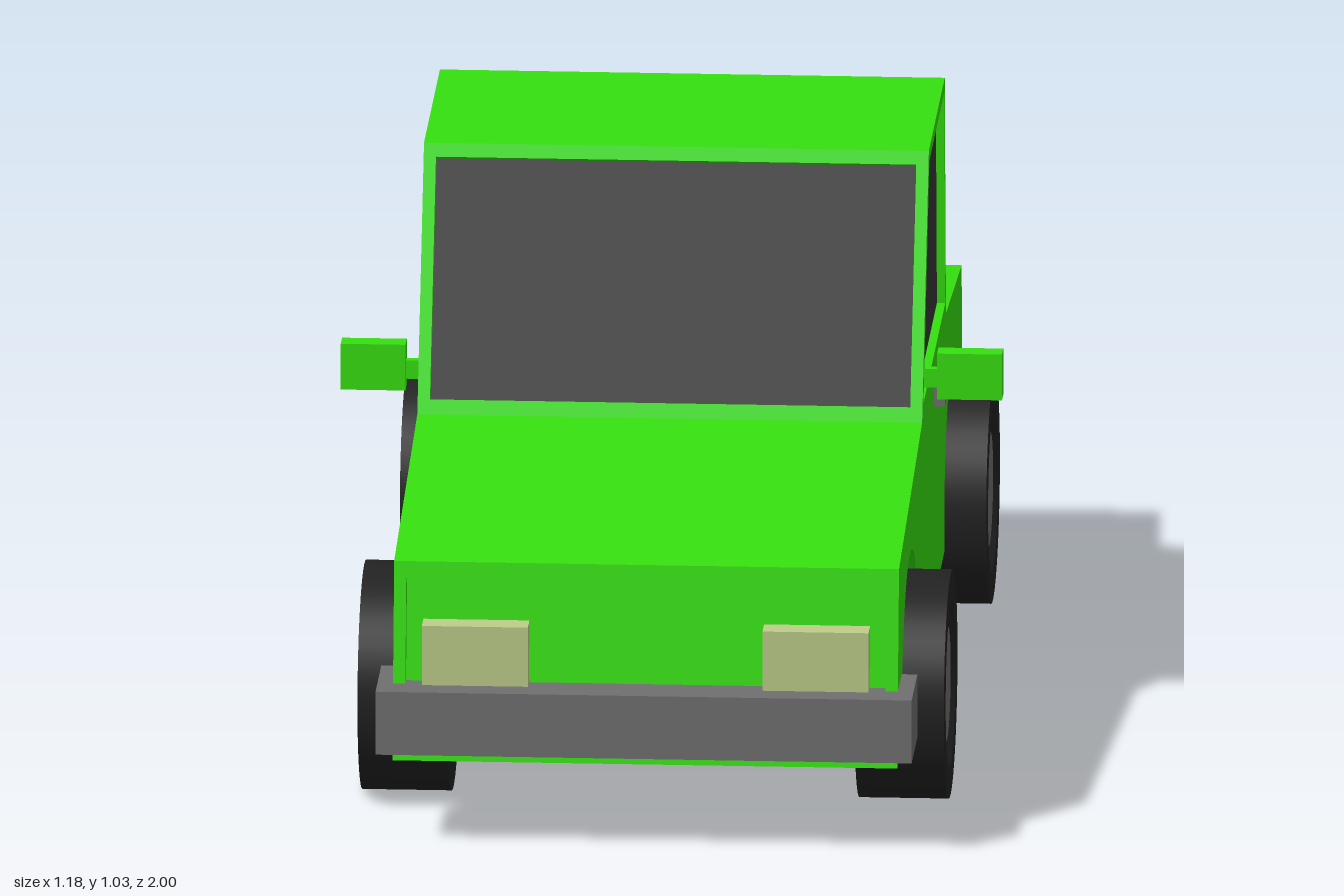
import * as THREE from 'three';

const paint = (color) => new THREE.MeshStandardMaterial({ color });
const GREEN = paint(0x36e010), GLASS = paint(0x353535), GREY = paint(0x707070);
const TYRE = paint(0x222222), LAMP = paint(0xbecd8a);
const HALF = 0.452; // half width of the body

export function createModel() {
  const car = new THREE.Group();
  car.name = 'pickupCar';

  const add = (name, geometry, material, parent = car) => {
    const mesh = new THREE.Mesh(geometry, material);
    mesh.name = name;
    parent.add(mesh);
    return mesh;
  };
  const box = (name, material, [x0, x1], [y0, y1], [z0, z1], parent = car) => {
    const mesh = add(name, new THREE.BoxGeometry(x1 - x0, y1 - y0, z1 - z0), material, parent);
    mesh.position.set((x0 + x1) / 2, (y0 + y1) / 2, (z0 + z1) / 2);
    return mesh;
  };
  const polygon = (pts) => new THREE.Shape(pts.map(([a, b]) => new THREE.Vector2(a, b)));

  // Side profile drawn in (z, y), extruded across x from x0 to x1
  const across = (shape, x0, x1) =>
    new THREE.ExtrudeGeometry(shape, { depth: x1 - x0, bevelEnabled: false, curveSegments: 32 })
      .rotateY(-Math.PI / 2).translate(x1, 0, 0);

  // Tilted frame between two (z, y) points, with a rectangular opening; side = 1 front, -1 back
  const frame = (name, [z0, y0], [z1, y1], side, openX, openY0, openY1, depth) => {
    const up = new THREE.Vector3(0, y1 - y0, z1 - z0);
    const h = up.length(), scale = h / (y1 - y0);
    up.normalize();
    const right = new THREE.Vector3(side, 0, 0);
    const out = new THREE.Vector3().crossVectors(right, up);
    const shape = polygon([[-HALF, 0], [HALF, 0], [HALF, h], [-HALF, h]]);
    const a = (openY0 - y0) * scale, b = (openY1 - y0) * scale;
    shape.holes.push(polygon([[-openX, a], [-openX, b], [openX, b], [openX, a]]));
    const geo = new THREE.ExtrudeGeometry(shape, { depth, bevelEnabled: false });
    geo.translate(0, 0, -depth);
    geo.applyMatrix4(new THREE.Matrix4().makeBasis(right, up, out).setPosition(0, y0, z0));
    add(name, geo, GREEN);
  };

  // Lower body with wheel arches cut right across; nose set back behind its frame
  const axles = [-0.68, 0.585], hubY = 0.205, archR = 0.24, floor = 0.155;
  const dip = Math.asin((hubY - floor) / archR);
  const body = new THREE.Shape();
  body.moveTo(-0.975, floor);
  for (const z of axles) {
    body.lineTo(z - archR * Math.cos(dip), floor);
    body.absarc(z, hubY, archR, Math.PI + dip, -dip, true);
  }
  for (const [z, y] of [[0.943, floor], [0.893, 0.48], [0.904, 0.5], [0.91, 0.51],
    [0.22, 0.585], [-0.49, 0.585], [-0.96, 0.54]]) body.lineTo(z, y);
  body.closePath();
  add('body', across(body, -HALF, HALF), GREEN);
  frame('noseFrame', [0.965, floor], [0.91, 0.51], 1, 0.43, 0.2, 0.48, 0.023);

  // Cabin: dark glass core, framed on every side, with a roof slab
  add('glass', across(polygon([[0.198, 0.575], [0, 1.018], [-0.438, 1.018], [-0.473, 0.575]]),
    -0.437, 0.437), GLASS);
  frame('windscreenFrame', [0.22, 0.585], [0.02, 1.033], 1, 0.43, 0.61, 1.01, 0.02);
  frame('rearWindowFrame', [-0.49, 0.585], [-0.455, 1.033], -1, 0.43, 0.61, 1.01, 0.015);
  for (const s of [-1, 1]) {
    const side = polygon([[0.22, 0.585], [0.02, 1.033], [-0.455, 1.033], [-0.49, 0.585]]);
    side.holes.push(polygon([[0.18, 0.61], [-0.47, 0.61], [-0.443, 1.01], [0.003, 1.01]]));
    add('sideWindowFrame', across(side, s > 0 ? 0.434 : -HALF, s > 0 ? HALF : -0.434), GREEN);
  }
  add('roof', across(polygon([[0.02, 1.033], [-0.455, 1.033], [-0.453, 1.012], [0.029, 1.012]]),
    -0.445, 0.445), GREEN);

  // Bumpers
  box('frontBumper', GREY, [-0.48, 0.48], [0.175, 0.292], [0.83, 1]);
  box('rearBumper', GREY, [-0.48, 0.48], [0.175, 0.292], [-1, -0.932]);

  // Wheel profile (radius, height along the axle): tyre with a dished centre
  const tyreProfile = [[0, -0.08], [0.205, -0.08], [0.205, -0.08], [0.205, 0.08], [0.205, 0.08],
    [0.15, 0.08], [0.15, 0.08], [0.138, 0.068], [0.138, 0.068], [0, 0.068]]
    .map(([r, h]) => new THREE.Vector2(r, h));

  for (const s of [-1, 1]) {
    const span = (a, b) => (s > 0 ? [a, b] : [-b, -a]);

    for (const z of axles) {
      const wheel = new THREE.Group();
      wheel.name = 'wheel';
      wheel.position.set(s * 0.445, hubY, z);
      wheel.rotation.z = -s * Math.PI / 2;
      add('tyre', new THREE.LatheGeometry(tyreProfile, 48), TYRE, wheel);
      add('hubcap', new THREE.CylinderGeometry(0.102, 0.102, 0.02, 40), GREY, wheel).position.y = 0.064;
      car.add(wheel);
    }

    box('headlight', LAMP, span(0.21, 0.4), [0.25, 0.402], [0.81, 0.952]);
    box('doorHandle', GREY, span(0.44, 0.472), [0.515, 0.558], [-0.226, -0.13]);

    // Door mirror on a short arm, glass facing back
    const mirror = new THREE.Group();
    mirror.name = 'doorMirror';
    box('mirrorArm', GREEN, span(0.435, 0.48), [0.633, 0.667], [0.142, 0.158], mirror);
    box('mirrorHousing', GREEN, span(0.476, 0.592), [0.615, 0.7], [0.132, 0.172], mirror);
    box('mirrorGlass', GLASS, span(0.486, 0.582), [0.625, 0.69], [0.13, 0.14], mirror);
    car.add(mirror);
  }
  return car;
}
